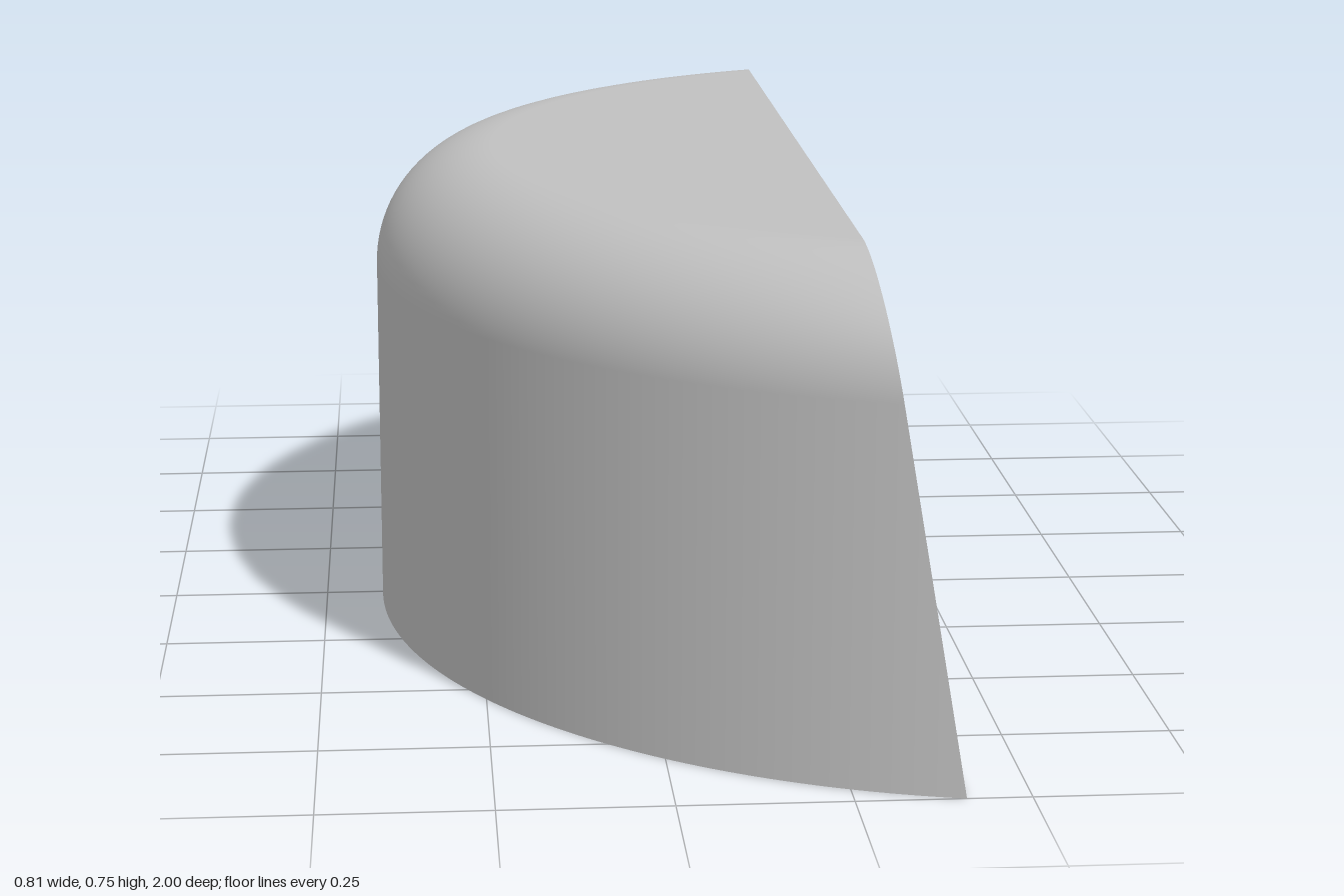
import * as THREE from 'three';

// Segment of an upright cylinder with a rounded top rim, sliced by a sloping plane.
const RADIUS = 1.021, AXIS_X = 0.613, HEIGHT = 0.75, FILLET = 0.187;
const CUT_BOTTOM = 0.407, CUT_TOP = 0.28;
const ARC_STEPS = 128;

function makeGeometry(positions, index, normals) {
  const geometry = new THREE.BufferGeometry();
  geometry.setAttribute('position', new THREE.Float32BufferAttribute(positions, 3));
  geometry.setIndex(index);
  if (normals) geometry.setAttribute('normal', new THREE.Float32BufferAttribute(normals, 3));
  else geometry.computeVertexNormals();
  return geometry;
}

// Flat face from a convex, counter-clockwise outline
function fan(points) {
  const index = [];
  for (let i = 1; i < points.length - 1; i++) index.push(0, i, i + 1);
  return makeGeometry(points.flat(), index);
}

export function createModel() {
  const group = new THREE.Group();
  group.name = 'roundedHalfBlock';
  const grey = new THREE.MeshStandardMaterial({ color: 0xc0c0c0 });
  grey.name = 'light grey';

  // Profile rows: radius, height and tilt of the normal
  const profile = [];
  const straight = HEIGHT - FILLET;
  for (let i = 0; i < 8; i++) profile.push({ r: RADIUS, y: straight * i / 8, tilt: 0 });
  for (let i = 0; i <= 24; i++) {
    const t = i / 24 * Math.PI / 2;
    profile.push({
      r: RADIUS - FILLET * (1 - Math.cos(t)),
      y: straight + FILLET * Math.sin(t),
      tilt: t,
    });
  }

  // Each row is an arc that starts and ends on the sloping plane
  const normals = [];
  const rows = profile.map(({ r, y, tilt }) => {
    const cutX = CUT_BOTTOM + (CUT_TOP - CUT_BOTTOM) * y / HEIGHT;
    const start = Math.acos((cutX - AXIS_X) / r);
    const row = [];
    for (let i = 0; i <= ARC_STEPS; i++) {
      const a = start + (2 * Math.PI - 2 * start) * i / ARC_STEPS;
      row.push([AXIS_X + r * Math.cos(a), y, r * Math.sin(a)]);
      normals.push(Math.cos(a) * Math.cos(tilt), Math.sin(tilt), Math.sin(a) * Math.cos(tilt));
    }
    return row;
  });

  const index = [];
  const width = ARC_STEPS + 1;
  for (let j = 0; j < rows.length - 1; j++) {
    for (let i = 0; i < ARC_STEPS; i++) {
      const a = j * width + i, b = a + width;
      index.push(a, b, a + 1, a + 1, b, b + 1);
    }
  }

  const add = (name, geometry) => {
    const mesh = new THREE.Mesh(geometry, grey);
    mesh.name = name;
    group.add(mesh);
  };

  add('curvedWall', makeGeometry(rows.flat(2), index, normals));
  add('topFace', fan([...rows[rows.length - 1]].reverse()));
  add('bottomFace', fan(rows[0]));

  // Sloping flat face, bounded by the ends of every row
  const backEdge = rows.map((row) => row[ARC_STEPS]);
  const frontEdge = rows.map((row) => row[0]).reverse();
  add('slopingFace', fan([...backEdge, ...frontEdge]));

  return group;
}
